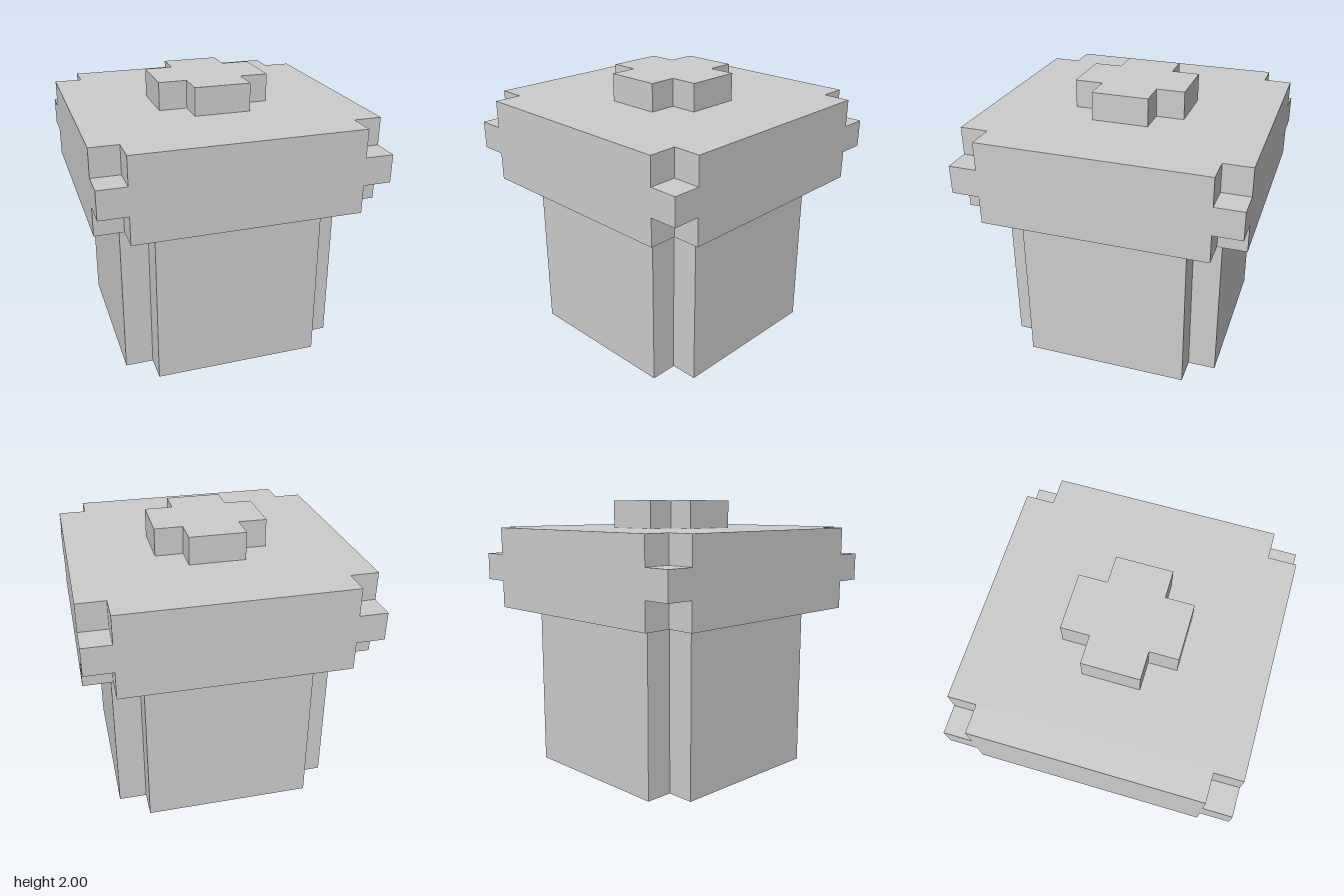
import * as THREE from 'three';

const material = new THREE.MeshStandardMaterial({ color: 0xcccccc, flatShading: true });
const NOTCH = 0.2;

// Square prism of half-width h with a square notch cut from each vertical edge
function notchedPrism(name, h, bottom, height) {
  const i = h - NOTCH;
  const shape = new THREE.Shape([
    [h, -i], [h, i], [i, i], [i, h], [-i, h], [-i, i],
    [-h, i], [-h, -i], [-i, -i], [-i, -h], [i, -h], [i, -i],
  ].map(([x, y]) => new THREE.Vector2(x, y)));
  const geometry = new THREE.ExtrudeGeometry(shape, { depth: height, bevelEnabled: false });
  geometry.rotateX(-Math.PI / 2);
  const mesh = new THREE.Mesh(geometry, material);
  mesh.name = name;
  mesh.position.y = bottom;
  return mesh;
}

export function createModel() {
  const model = new THREE.Group();
  model.name = 'liddedJar';

  model.add(notchedPrism('body', 0.8, 0, 1.2));

  // Lid with a small block filling the middle of each corner notch
  const lid = new THREE.Group();
  lid.name = 'lid';
  lid.add(notchedPrism('lidSlab', 1, 1.2, 0.6));
  const block = new THREE.BoxGeometry(NOTCH, NOTCH, NOTCH);
  for (const x of [-1, 1]) {
    for (const z of [-1, 1]) {
      const corner = new THREE.Mesh(block, material);
      corner.name = `${z > 0 ? 'front' : 'back'}${x > 0 ? 'Left' : 'Right'}CornerBlock`;
      corner.position.set(0.9 * x, 1.5, 0.9 * z);
      lid.add(corner);
    }
  }
  model.add(lid);

  model.add(notchedPrism('knob', 0.4, 1.8, 0.2));
  return model;
}
